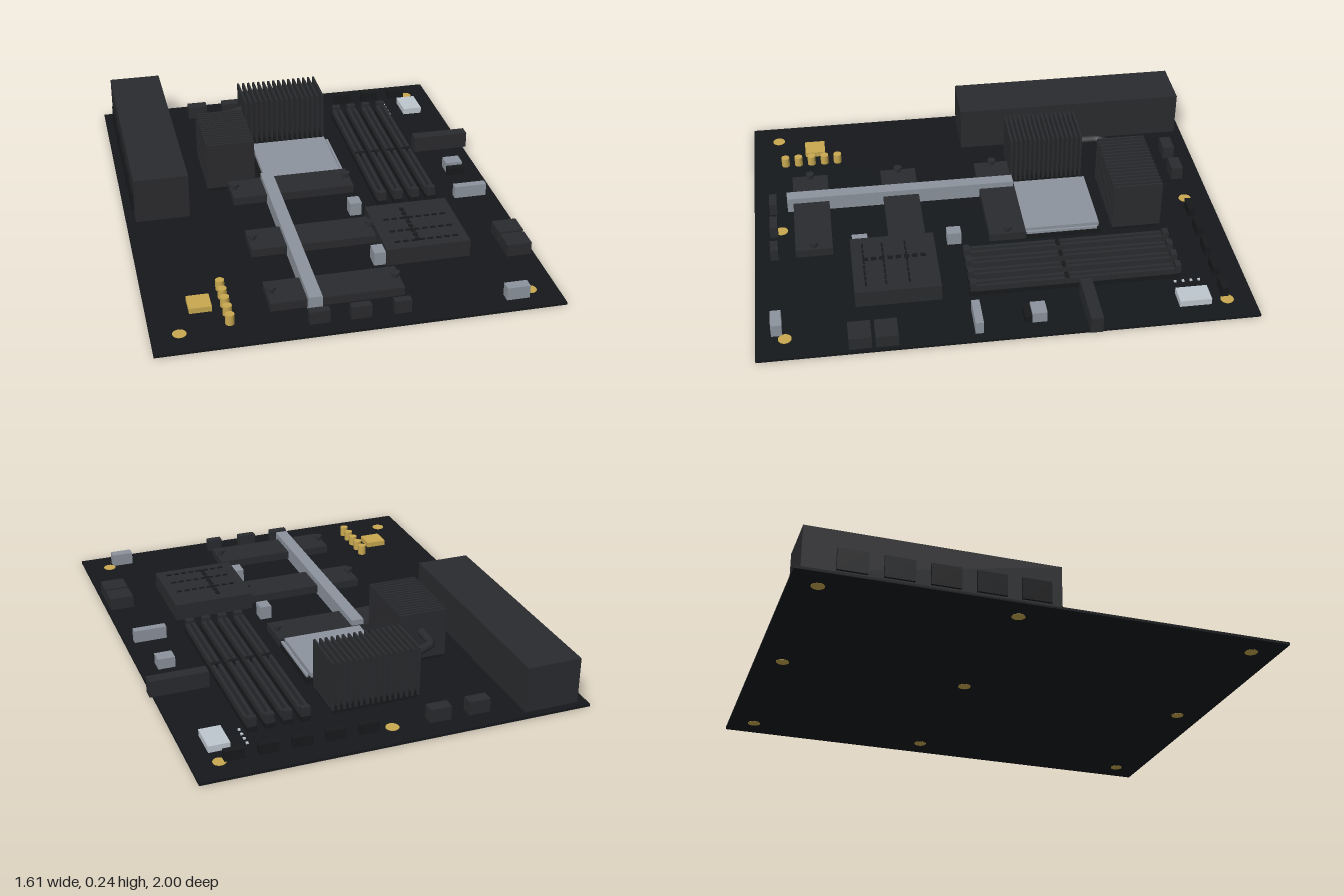
import * as THREE from 'three';

const material = (color) => new THREE.MeshStandardMaterial({ color });
const mats = {
  board: material(0x15181b),
  black: material(0x18191b),
  dark: material(0x2a2b2e),
  steel: material(0x8c939d),
  pale: material(0xbfc7cf),
  gold: material(0xc8a850),
};
const TOP = 0.012; // upper face of the circuit board

export function createModel() {
  const model = new THREE.Group();

  const add = (name, geometry, mat, parent = model) => {
    const mesh = new THREE.Mesh(geometry, mats[mat]);
    mesh.name = name;
    parent.add(mesh);
    return mesh;
  };
  // Box given by its limits on each axis
  const box = (name, mat, x0, x1, y0, y1, z0, z1, parent) => {
    const mesh = add(name, new THREE.BoxGeometry(x1 - x0, y1 - y0, z1 - z0), mat, parent);
    mesh.position.set((x0 + x1) / 2, (y0 + y1) / 2, (z0 + z1) / 2);
    return mesh;
  };
  // Upright cylinder from y0 to y1
  const post = (name, mat, r, x, y0, y1, z, parent) => {
    const mesh = add(name, new THREE.CylinderGeometry(r, r, y1 - y0, 20), mat, parent);
    mesh.position.set(x, (y0 + y1) / 2, z);
    return mesh;
  };
  const group = (name) => {
    const g = new THREE.Group();
    g.name = name;
    model.add(g);
    return g;
  };

  // Circuit board and plated mounting holes
  box('circuitBoard', 'board', -0.805, 0.79, 0.001, TOP, -1, 1);
  const holes = group('mountingHoles');
  for (const x of [-0.695, -0.008, 0.68])
    for (const z of [-0.89, -0.11, 0.885]) post('mountingHole', 'gold', 0.027, x, 0, TOP + 0.002, z, holes);

  // Rear port cover with sockets on its outer face
  const ports = group('portCover');
  box('cover', 'dark', -0.765, -0.535, TOP, 0.208, -0.97, 0.045, ports);
  for (let i = 0; i < 5; i++) {
    const z = -0.84 + i * 0.18;
    box('port', 'black', -0.775, -0.765, 0.04, 0.13, z, z + 0.12, ports);
  }

  // Side heatsink: fins stacked along z
  const sideSink = group('sideHeatsink');
  box('base', 'black', -0.42, -0.23, TOP, 0.045, -0.45, -0.15, sideSink);
  for (let i = 0; i < 16; i++) {
    const z = -0.455 + i * 0.0207;
    box('fin', 'dark', -0.43, -0.22, 0.03, 0.24, z - 0.0045, z + 0.0045, sideSink);
  }

  // Rear heatsink: fins stacked along x
  const rearSink = group('rearHeatsink');
  box('base', 'black', -0.19, 0.17, TOP, 0.045, -0.72, -0.53, rearSink);
  for (let i = 0; i < 16; i++) {
    const x = -0.188 + i * 0.024;
    box('fin', 'dark', x - 0.0045, x + 0.0045, 0.03, 0.24, -0.73, -0.52, rearSink);
  }

  // Bent heat pipe joining the two heatsinks
  const path = new THREE.CurvePath();
  const corners = [[-0.32, -0.295], [-0.32, -0.565], [-0.19, -0.635], [0.085, -0.64]]
    .map(([x, z]) => new THREE.Vector3(x, 0.152, z));
  const [a, b, c, d] = corners;
  const b0 = b.clone().lerp(a, 0.12), b1 = b.clone().lerp(c, 0.2);
  const c0 = c.clone().lerp(b, 0.2), c1 = c.clone().lerp(d, 0.12);
  path.add(new THREE.LineCurve3(a, b0));
  path.add(new THREE.QuadraticBezierCurve3(b0, b, b1));
  path.add(new THREE.LineCurve3(b1, c0));
  path.add(new THREE.QuadraticBezierCurve3(c0, c, c1));
  path.add(new THREE.LineCurve3(c1, d));
  add('heatPipe', new THREE.TubeGeometry(path, 40, 0.018, 12), 'dark');
  for (const [p, axis] of [[a, 'x'], [d, 'z']]) {
    const cap = add('heatPipeEnd', new THREE.CylinderGeometry(0.018, 0.018, 0.004, 12), 'dark');
    cap.position.copy(p);
    cap.rotation[axis] = Math.PI / 2;
  }

  // Processor in its socket, with the retention lever
  const cpu = group('processor');
  box('socket', 'black', -0.185, 0.185, TOP, 0.035, -0.475, -0.14, cpu);
  box('lid', 'steel', -0.175, 0.165, 0.035, 0.055, -0.465, -0.145, cpu);
  box('lever', 'steel', 0.172, 0.182, 0.035, 0.046, -0.455, -0.15, cpu);

  // Storage drive covers with thumb screws
  for (const z of [-0.0675, 0.3575, 0.75]) {
    const drive = group('driveCover');
    box('plate', 'dark', -0.34, 0.19, 0.02, 0.055, z - 0.078, z + 0.078, drive);
    box('socket', 'black', -0.32, 0.17, TOP, 0.02, z - 0.06, z + 0.06, drive);
    for (const x of [-0.322, 0.172]) {
      post('screw', 'dark', 0.01, x, 0.055, 0.07, z, drive);
      post('screwHead', 'dark', 0.018, x, 0.07, 0.08, z, drive);
    }
  }

  // Long expansion slot
  box('expansionSlot', 'steel', -0.195, -0.142, TOP, 0.08, -0.14, 0.855);

  // Memory slots: two rails, a key bridge and end latches
  for (let i = 0; i < 4; i++) {
    const x = 0.286 + i * 0.0725, slot = group('memorySlot');
    box('floor', 'black', x - 0.021, x + 0.021, TOP, 0.035, -0.735, 0.135, slot);
    for (const s of [-1, 1]) {
      const rx = x + s * 0.014;
      box('rail', 'dark', rx - 0.007, rx + 0.007, 0.035, 0.062, -0.71, 0.11, slot);
    }
    box('key', 'black', x - 0.019, x + 0.019, 0.035, 0.064, -0.272, -0.255, slot);
    for (const z of [-0.725, 0.122]) box('latch', 'dark', x - 0.018, x + 0.018, 0.035, 0.075, z - 0.012, z + 0.012, slot);
  }

  // Chipset cover with raised slats on top
  const chipset = group('chipsetCover');
  box('cover', 'dark', 0.178, 0.528, TOP, 0.085, 0.25, 0.6, chipset);
  for (const z of [0.375, 0.47, 0.552])
    for (let i = 0; i < 8; i++) {
      const x = 0.225 + i * 0.0345;
      box('slat', 'black', x, x + 0.022, 0.085, 0.09, z - 0.004, z + 0.004, chipset);
    }
  for (let i = 0; i < 8; i++) {
    const z = 0.295 + i * 0.034;
    box('crossSlat', 'black', 0.313, 0.331, 0.085, 0.089, z, z + 0.022, chipset);
  }

  // Main power connector and drive ports on the left edge
  box('powerConnector', 'dark', 0.558, 0.805, TOP, 0.083, -0.355, -0.305);
  for (const z of [0.49, 0.595]) box('drivePort', 'dark', 0.672, 0.775, TOP, 0.065, z - 0.045, z + 0.045);

  // Fan headers along the rear and front edges
  for (const x of [-0.365, -0.2]) box('rearHeader', 'dark', x - 0.044, x + 0.044, TOP, 0.07, -0.915, -0.865);
  for (let i = 0; i < 5; i++) {
    const x = 0.088 + i * 0.134;
    box('rearSocket', 'black', x - 0.04, x + 0.04, TOP, 0.055, -0.9, -0.872);
  }
  for (const [x, w] of [[-0.17, 0.08], [-0.008, 0.08], [0.155, 0.066]])
    box('frontHeader', 'dark', x - w / 2, x + w / 2, TOP, 0.066, 0.9, 0.933);

  // Small steel connectors
  for (const [x0, x1, y, z0, z1] of [
    [0.13, 0.18, 0.07, 0.13, 0.19], [0.13, 0.18, 0.07, 0.525, 0.59],
    [0.61, 0.75, 0.066, 0.11, 0.143], [0.642, 0.715, 0.058, -0.148, -0.088],
    [0.567, 0.66, 0.066, 0.895, 0.938],
  ]) box('connector', 'steel', x0, x1, TOP, y, z0, z1);
  box('connectorBase', 'black', 0.642, 0.715, TOP, 0.045, -0.088, -0.058);

  // Status display and indicator lights
  box('statusDisplay', 'pale', 0.615, 0.702, TOP, 0.04, -0.82, -0.69);
  for (let i = 0; i < 4; i++) box('indicator', 'pale', 0.542, 0.552, TOP, 0.018, -0.812 + i * 0.033, -0.802 + i * 0.033);

  // Gold audio chip and capacitors
  box('audioChip', 'gold', -0.642, -0.553, TOP, 0.035, 0.675, 0.765);
  for (let i = 0; i < 5; i++) post('capacitor', 'gold', 0.018, -0.5, TOP, 0.055, 0.621 + i * 0.059);

  return model;
}
